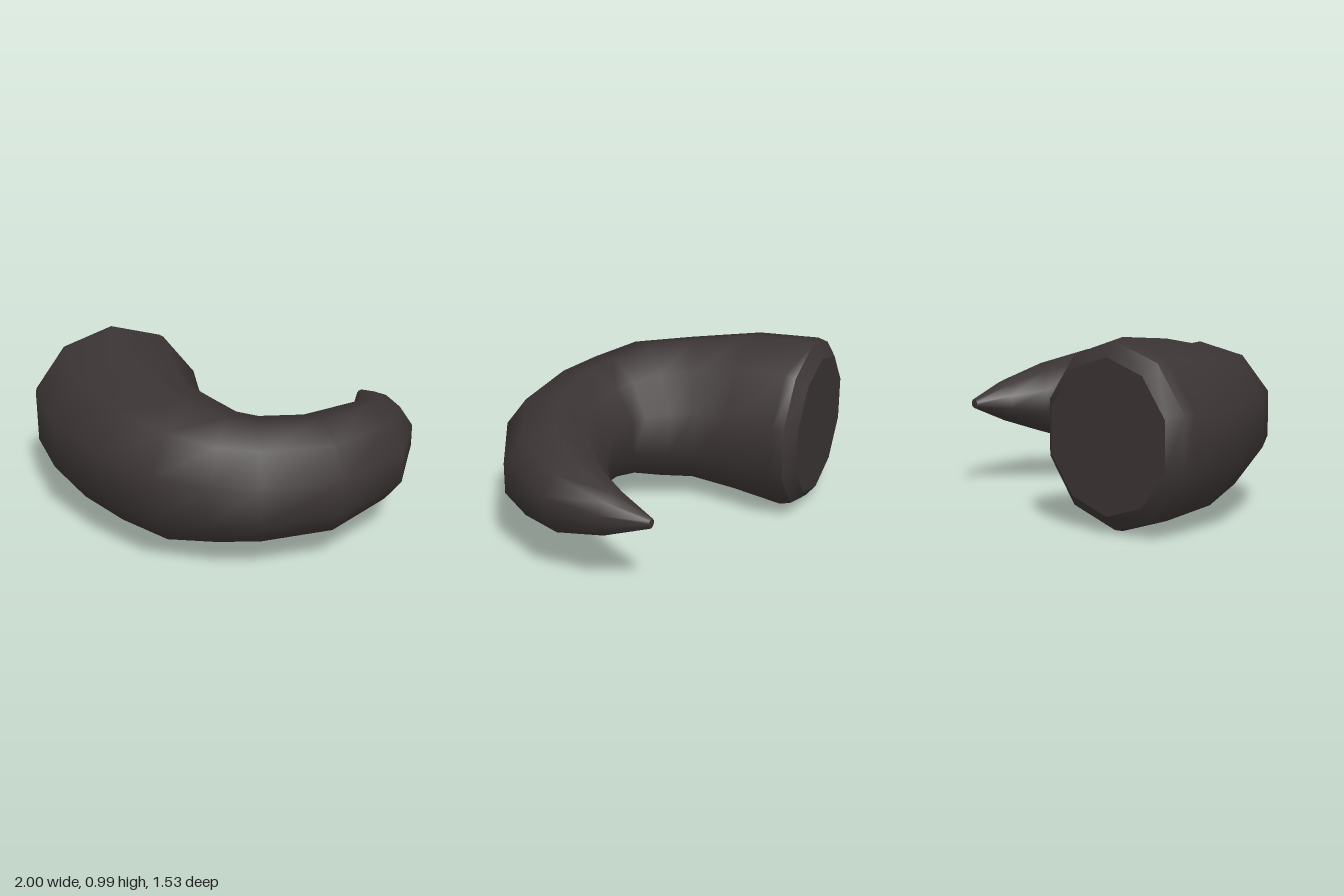
import * as THREE from 'three';

const SIDES = 10;
const MID_Y = 0.5;

// Ring edges seen from above: [outer x, outer z, inner x, inner z]
const RINGS = [
  [-0.91, -0.77, -0.14, -0.77],
  [-0.985, -0.71, -0.07, -0.71],
  [-1.0, -0.65, -0.055, -0.65],
  [-0.98, -0.28, -0.095, -0.37],
  [-0.82, 0.14, -0.09, -0.17],
  [-0.61, 0.47, -0.04, -0.04],
  [-0.35, 0.64, 0.02, 0.07],
  [-0.09, 0.74, 0.09, 0.12],
  [0.36, 0.765, 0.29, 0.155],
  [0.78, 0.555, 0.49, 0.09],
  [0.98, 0.22, 0.66, -0.01],
  [1.0, -0.1, 0.78, -0.17],
  [0.93, -0.355, 0.88, -0.36],
];

// Points of one upright ten-sided ring spanning its outer and inner edge
function ringPoints([ox, oz, ix, iz]) {
  const k = 1 / Math.cos(Math.PI / SIDES);
  const hx = (ox - ix) / 2 * k, hz = (oz - iz) / 2 * k;
  const r = Math.hypot(hx, hz);
  const points = [];
  for (let j = 0; j < SIDES; j++) {
    const a = (j + 0.5) / SIDES * Math.PI * 2;
    points.push(
      (ox + ix) / 2 + hx * Math.cos(a),
      MID_Y + r * Math.sin(a),
      (oz + iz) / 2 + hz * Math.cos(a));
  }
  return points;
}

function buildGeometry(positions, index) {
  const geometry = new THREE.BufferGeometry();
  geometry.setAttribute('position', new THREE.Float32BufferAttribute(positions, 3));
  geometry.setIndex(index);
  geometry.computeVertexNormals();
  return geometry;
}

// Smooth skin through consecutive rings
function skin(rings) {
  const index = [];
  for (let k = 0; k < rings.length - 1; k++) {
    for (let j = 0; j < SIDES; j++) {
      const n = (j + 1) % SIDES;
      const a = k * SIDES + j, b = k * SIDES + n;
      index.push(a, a + SIDES, b + SIDES, a, b + SIDES, b);
    }
  }
  return buildGeometry(rings.flatMap(ringPoints), index);
}

// Flat end face
function cap(ring, flip) {
  const index = [];
  for (let j = 1; j < SIDES - 1; j++) {
    index.push(0, flip ? j + 1 : j, flip ? j : j + 1);
  }
  return buildGeometry(ringPoints(ring), index);
}

export function createModel() {
  const group = new THREE.Group();
  group.name = 'horn';
  const hornMaterial = new THREE.MeshStandardMaterial({ color: 0x3b3434 });
  hornMaterial.name = 'dark horn';

  const add = (name, geometry) => {
    const mesh = new THREE.Mesh(geometry, hornMaterial);
    mesh.name = name;
    group.add(mesh);
  };

  add('baseCap', cap(RINGS[0], false));
  add('baseBevel', skin(RINGS.slice(0, 2)));
  add('curvedBody', skin(RINGS.slice(1)));
  add('tipCap', cap(RINGS[RINGS.length - 1], true));
  return group;
}
